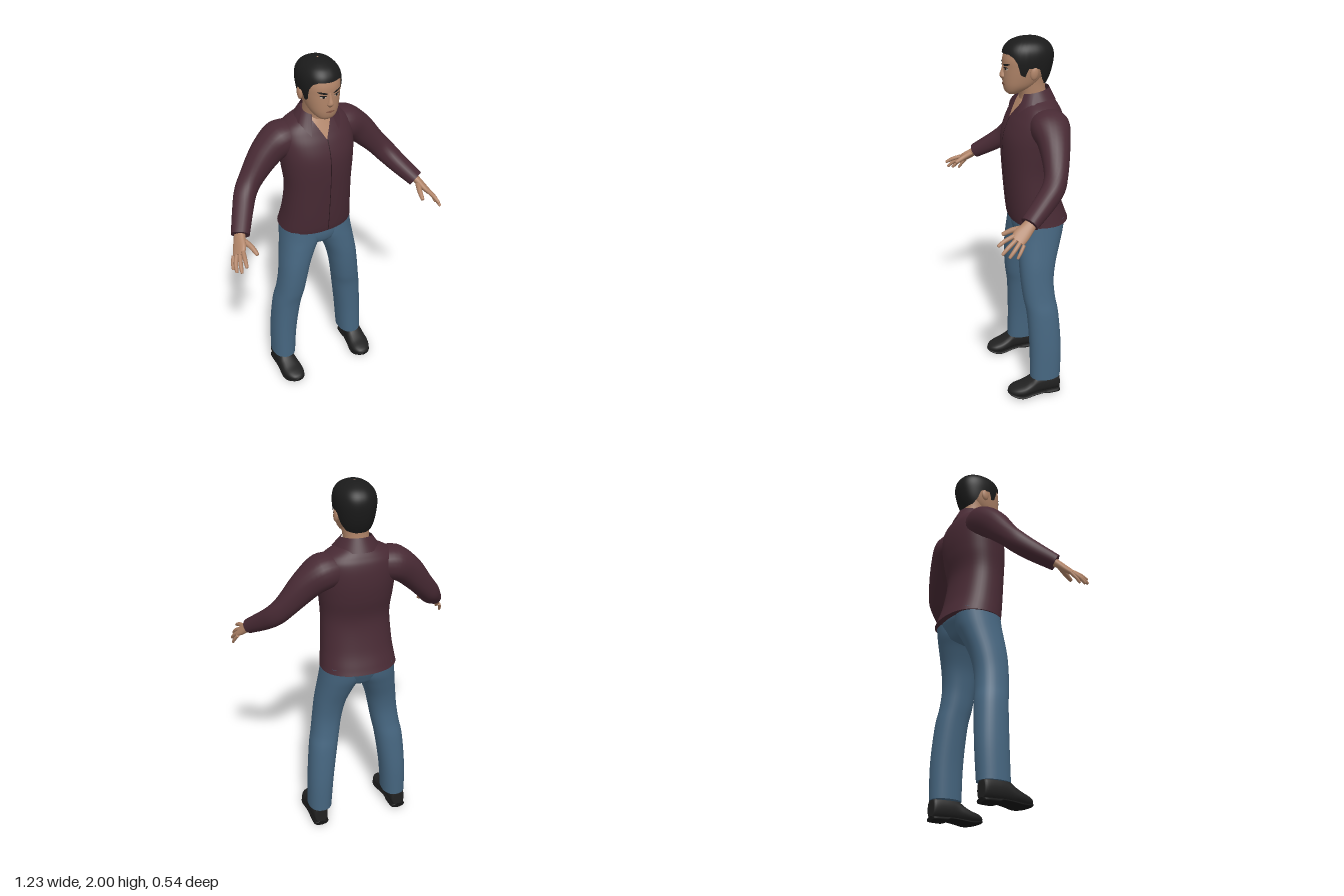
import * as THREE from 'three';

const mat = (name, color, side = THREE.FrontSide) => {
  const m = new THREE.MeshStandardMaterial({ color, side });
  m.name = name;
  return m;
};
const V = (p) => new THREE.Vector3(...p);
const N = 2.25; // roundness of the cross-sections
const sup = (c) => Math.sign(c) * Math.pow(Math.abs(c), 2 / N);

// Surface through rows of points, with optional flat ends
function grid(rows, wrap = true, caps = true) {
  const pos = rows.flat(2), idx = [], n = rows[0].length;
  for (let i = 0; i < rows.length - 1; i++)
    for (let j = 0; j < (wrap ? n : n - 1); j++) {
      const a = i * n + j, b = i * n + (j + 1) % n;
      idx.push(a, b, a + n, b, b + n, a + n);
    }
  if (caps) [rows[0], rows[rows.length - 1]].forEach((row, end) => {
    const base = pos.length / 3, mid = [0, 1, 2].map((k) => row.reduce((s, p) => s + p[k], 0) / n);
    pos.push(...row.flat(), ...mid);
    for (let j = 0; j < n; j++) {
      const a = base + j, b = base + (j + 1) % n;
      idx.push(base + n, end ? a : b, end ? b : a);
    }
  });
  const g = new THREE.BufferGeometry();
  g.setAttribute('position', new THREE.Float32BufferAttribute(pos, 3));
  g.setIndex(idx);
  g.computeVertexNormals();
  return g;
}

// Catmull-Rom refinement of cross-sections [centre, half axis u, half axis v]
function refine(rings, steps = 5) {
  const out = [], at = (i) => rings[Math.max(0, Math.min(rings.length - 1, i))];
  for (let i = 0; i < rings.length - 1; i++)
    for (let s = 0; s < steps; s++) {
      const t = s / steps;
      out.push(rings[i].map((b, k) => {
        const a = at(i - 1)[k], c = at(i + 1)[k], d = at(i + 2)[k];
        return b + 0.5 * t * (c - a + t * (2 * a - 5 * b + 4 * c - d + t * (3 * (b - c) + d - a)));
      }));
    }
  out.push(at(rings.length - 1));
  return out;
}
const loft = (fine, sides = 32) => grid(fine.map((r) => Array.from({ length: sides }, (_, j) => {
  const a = j / sides * Math.PI * 2, c = sup(Math.cos(a)), s = sup(Math.sin(a));
  return [0, 1, 2].map((k) => r[k] + c * r[3 + k] + s * r[6 + k]);
})));
// Level sections: [y, x0, x1, front z, back z], or [y, half width, front z, back z]
const level = (list) => refine(list.map((r) => {
  const [y, x0, x1, f, b] = r.length === 5 ? r : [r[0], -r[1], r[1], r[2], r[3]];
  return [(x0 + x1) / 2, y, (f + b) / 2, (x1 - x0) / 2, 0, 0, 0, 0, -(f - b) / 2];
}));
// Upright sections along z: [z, centre x, half width, bottom y, top y]
const along = (list) => loft(refine(list.map(([z, x, w, b, t]) =>
  [x, (b + t) / 2, z, w, 0, 0, 0, (t - b) / 2, 0])), 24);
// Limb along points: [x, y, z, radius u, radius v]
function limb(list, hint = [0, 1, 0], sides = 24) {
  const pts = list.map((p) => V(p.slice(0, 3)));
  return loft(refine(list.map((p, i) => {
    const t = pts[Math.min(i + 1, pts.length - 1)].clone().sub(pts[Math.max(i - 1, 0)]).normalize();
    const u = t.clone().cross(V(hint)).normalize(), v = t.clone().cross(u);
    return [...pts[i].toArray(), ...u.multiplyScalar(p[3]).toArray(), ...v.multiplyScalar(p[4] ?? p[3]).toArray()];
  })), sides);
}
// Section of a refined level loft at height y, and its front depth at x
function section(fine, y) {
  let i = 0;
  while (i < fine.length - 2 && fine[i + 1][1] < y) i++;
  const a = fine[i], b = fine[i + 1], t = Math.max(0, Math.min(1, (y - a[1]) / (b[1] - a[1])));
  const mix = (k) => a[k] + (b[k] - a[k]) * t;
  return { rx: mix(3), cz: mix(2), rz: -mix(8) };
}
function frontZ(fine, x, y) {
  const { rx, cz, rz } = section(fine, y);
  return cz + rz * Math.pow(Math.max(0, 1 - Math.pow(Math.abs(x / rx), N)), 1 / N);
}
// Thin detail laid on the front of a loft
function decal(fine, geo, off) {
  const p = geo.attributes.position;
  for (let i = 0; i < p.count; i++) p.setZ(i, frontZ(fine, p.getX(i), p.getY(i)) + off);
  geo.computeVertexNormals();
  return geo;
}
function mirrored(geo) {
  const g = geo.clone().scale(-1, 1, 1), ix = g.index;
  for (let i = 0; i < ix.count; i += 3) {
    const a = ix.getX(i);
    ix.setX(i, ix.getX(i + 2));
    ix.setX(i + 2, a);
  }
  return g;
}

export function createModel() {
  const model = new THREE.Group();
  model.name = 'standingMan';
  const skin = mat('skin', 0xb08468), shirt = mat('shirt', 0x482a34, THREE.DoubleSide);
  const seam = mat('seam', 0x28161c), denim = mat('denim', 0x466680);
  const hairMat = mat('hair', 0x1b1b1b, THREE.DoubleSide), leather = mat('leather', 0x212121);
  const sole = mat('sole', 0x151515), lip = mat('lips', 0x8a5c4a), white = mat('eyeWhite', 0xb9aca0);
  const add = (name, geo, m) => {
    const mesh = new THREE.Mesh(geo, m);
    mesh.name = name;
    model.add(mesh);
  };
  const pair = (name, geo, m) => {
    add(name + 'Left', geo, m);
    add(name + 'Right', mirrored(geo), m);
  };

  // Shirt body and sleeves
  const torso = level([
    [1.025, 0.205, 0.045, -0.268], [1.06, 0.2, 0.052, -0.255], [1.15, 0.19, 0.062, -0.225],
    [1.3, 0.183, 0.074, -0.2], [1.42, 0.193, 0.08, -0.222], [1.5, 0.2, 0.074, -0.232],
    [1.57, 0.203, 0.05, -0.231], [1.62, 0.195, 0.022, -0.222], [1.65, 0.172, 0.004, -0.208],
    [1.67, 0.14, -0.008, -0.196], [1.69, 0.1, -0.02, -0.182], [1.71, 0.075, -0.03, -0.17]]);
  add('shirtBody', loft(torso, 48), shirt);
  pair('sleeve', limb([
    [0.1, 1.58, -0.11, 0.09, 0.08], [0.19, 1.572, -0.115, 0.1, 0.088], [0.27, 1.515, -0.11, 0.08, 0.078],
    [0.36, 1.415, -0.09, 0.062, 0.062], [0.415, 1.35, -0.06, 0.057, 0.057],
    [0.46, 1.295, 0, 0.053, 0.051], [0.522, 1.225, 0.098, 0.047, 0.04]]), shirt);
  add('placket', decal(torso, new THREE.PlaneGeometry(0.004, 0.56, 1, 40).translate(0.004, 1.31, 0), 0.002), seam);

  // Open neck and folded collar
  const vee = new THREE.PlaneGeometry(2, 0.105, 8, 10).translate(0, 1.6475, 0), vp = vee.attributes.position;
  for (let i = 0; i < vp.count; i++) vp.setX(i, vp.getX(i) * (vp.getY(i) - 1.593) * 0.55);
  add('openNeck', decal(torso, vee, 0.004), skin);
  const collar = [[], []], a0 = 0.72;
  for (let j = 0; j <= 40; j++) {
    const a = a0 + j / 40 * (2 * Math.PI - 2 * a0), s = Math.sin(a), c = Math.cos(a);
    const y = 1.675 - 0.055 * Math.pow(Math.max(0, (c - 0.2) / 0.55), 1.5), x = s * 0.116;
    collar[1].push([s * 0.077, 1.728 - 0.014 * c, -0.083 + c * 0.083]);
    collar[0].push([x, y, c > 0.1 ? Math.max(-0.09 + c * 0.11, frontZ(torso, x, y) + 0.01) : -0.09 + c * 0.11]);
  }
  add('collar', grid(collar, false, false), shirt);

  // Hands
  const back = [0.73, 0.66, 0.14];
  pair('palm', limb([
    [0.505, 1.245, 0.065, 0.03, 0.026], [0.53, 1.215, 0.105, 0.033, 0.02],
    [0.549, 1.187, 0.145, 0.04, 0.017], [0.567, 1.165, 0.172, 0.036, 0.013]], back), skin);
  [['index', [0.547, 1.186, 0.184], [0.558, 1.172, 0.23], [0.566, 1.152, 0.268]],
    ['middle', [0.561, 1.173, 0.174], [0.579, 1.145, 0.219], [0.588, 1.115, 0.253]],
    ['ring', [0.574, 1.162, 0.16], [0.594, 1.132, 0.193], [0.603, 1.101, 0.222]],
    ['little', [0.585, 1.15, 0.144], [0.6, 1.119, 0.166], [0.607, 1.093, 0.183]],
    ['thumb', [0.52, 1.21, 0.125], [0.499, 1.194, 0.178], [0.488, 1.172, 0.225]],
  ].forEach(([name, a, b, c]) => {
    const r = name === 'thumb' ? 0.014 : name === 'little' ? 0.009 : 0.011;
    const tip = V(c).lerp(V(b), 0.1).toArray();
    pair(name + 'Finger', limb([[...a, r], [...b, r * 0.95], [...tip, r * 0.7], [...c, r * 0.25]], back, 12), skin);
  });

  // Trousers
  add('hips', loft(level([
    [0.905, 0.03, -0.03, -0.13], [0.93, 0.1, 0.01, -0.19], [0.97, 0.17, 0.024, -0.215],
    [1.02, 0.197, 0.025, -0.235], [1.06, 0.194, 0.02, -0.235]])), denim);
  pair('trouserLeg', loft(level([
    [0.11, 0.16, 0.293, -0.01, -0.183], [0.3, 0.145, 0.288, -0.01, -0.187], [0.5, 0.118, 0.272, 0, -0.175],
    [0.6, 0.1, 0.254, 0.016, -0.16], [0.7, 0.083, 0.24, 0.026, -0.155], [0.8, 0.06, 0.228, 0.03, -0.17],
    [0.9, 0.018, 0.213, 0.028, -0.2], [0.97, -0.02, 0.204, 0.025, -0.222], [1.05, -0.02, 0.195, 0.02, -0.235]])), denim);

  // Shoes
  pair('shoe', along([
    [-0.174, 0.238, 0.025, 0.02, 0.1], [-0.165, 0.238, 0.04, 0.016, 0.125], [-0.1, 0.237, 0.047, 0.016, 0.135],
    [-0.04, 0.236, 0.051, 0.016, 0.13], [0, 0.234, 0.057, 0.014, 0.1], [0.04, 0.232, 0.06, 0.012, 0.078],
    [0.08, 0.228, 0.053, 0.014, 0.066], [0.108, 0.226, 0.034, 0.02, 0.054], [0.12, 0.225, 0.012, 0.026, 0.04]]), leather);
  pair('shoeSole', along([
    [-0.177, 0.238, 0.025, 0.002, 0.028], [-0.165, 0.238, 0.043, 0, 0.028], [-0.1, 0.237, 0.048, 0, 0.03],
    [-0.075, 0.237, 0.049, 0.012, 0.03], [-0.02, 0.235, 0.055, 0.008, 0.028], [0.04, 0.232, 0.063, 0, 0.022],
    [0.08, 0.228, 0.056, 0.004, 0.026], [0.11, 0.226, 0.034, 0.014, 0.034], [0.122, 0.225, 0.012, 0.022, 0.038]]), sole);

  // Head and neck
  add('neck', loft(level([
    [1.62, 0.07, -0.005, -0.165], [1.7, 0.064, -0.012, -0.15], [1.76, 0.066, 0.01, -0.145], [1.8, 0.07, 0.02, -0.15]])), skin);
  const head = level([
    [1.715, 0.028, 0.05, 0], [1.73, 0.05, 0.065, -0.03], [1.76, 0.072, 0.073, -0.09], [1.8, 0.085, 0.075, -0.13],
    [1.85, 0.094, 0.074, -0.155], [1.9, 0.097, 0.072, -0.165], [1.95, 0.087, 0.05, -0.155], [1.985, 0.045, -0.005, -0.105]]);
  add('head', loft(head, 40), skin);
  add('nose', loft(level([
    [1.793, 0.01, 0.08, 0.05], [1.806, 0.018, 0.091, 0.05], [1.818, 0.015, 0.092, 0.05],
    [1.84, 0.01, 0.084, 0.05], [1.868, 0.009, 0.075, 0.05]]), 16), skin);
  pair('ear', new THREE.SphereGeometry(1, 16, 12).scale(0.012, 0.034, 0.021).rotateX(-0.15).translate(0.097, 1.832, -0.06), skin);
  const oval = (w, h, x, y, r = 0) => new THREE.CircleGeometry(1, 18).scale(w, h, 1).rotateZ(r).translate(x, y, 0);
  pair('eyeWhite', decal(head, oval(0.015, 0.006, 0.037, 1.85), 0.002), white);
  pair('iris', decal(head, oval(0.006, 0.006, 0.036, 1.85), 0.004), hairMat);
  pair('eyelid', decal(head, oval(0.018, 0.003, 0.037, 1.856, 0.08), 0.005), hairMat);
  pair('eyebrow', decal(head, oval(0.024, 0.005, 0.039, 1.871, 0.22), 0.004), hairMat);
  add('lips', decal(head, oval(0.024, 0.006, 0, 1.767), 0.003), lip);

  // Short hair trimmed along a hairline: [angle from the front, y]
  const hair = level([
    [1.74, 0.07, 0, -0.13], [1.76, 0.078, 0.04, -0.145], [1.8, 0.092, 0.065, -0.165], [1.85, 0.101, 0.076, -0.18],
    [1.9, 0.105, 0.078, -0.187], [1.94, 0.099, 0.07, -0.18], [1.97, 0.08, 0.047, -0.157],
    [1.988, 0.053, 0.015, -0.125], [1.997, 0.027, -0.015, -0.095], [2, 0.004, -0.05, -0.06]]);
  const line = [[0, 1.922], [0.5, 1.925], [0.8, 1.912], [1, 1.88], [1.12, 1.825], [1.32, 1.815],
    [1.42, 1.86], [1.8, 1.855], [2, 1.8], [2.3, 1.77], [3.15, 1.755]];
  const hairline = (a) => {
    const i = Math.max(1, line.findIndex((p) => p[0] >= a)), [p, q] = [line[i - 1], line[i]];
    return p[1] + (q[1] - p[1]) * (a - p[0]) / (q[0] - p[0]);
  };
  const rows = Array.from({ length: 25 }, (_, i) => Array.from({ length: 96 }, (_, j) => {
    const a = j / 96 * Math.PI * 2, y0 = hairline(Math.min(a, Math.PI * 2 - a));
    const y = 2 - (2 - y0) * Math.pow(1 - i / 24, 2), { rx, cz, rz } = section(hair, y);
    return [sup(Math.sin(a)) * rx, y, cz + sup(Math.cos(a)) * rz];
  }));
  add('hair', grid(rows, true, false), hairMat);
  return model;
}
